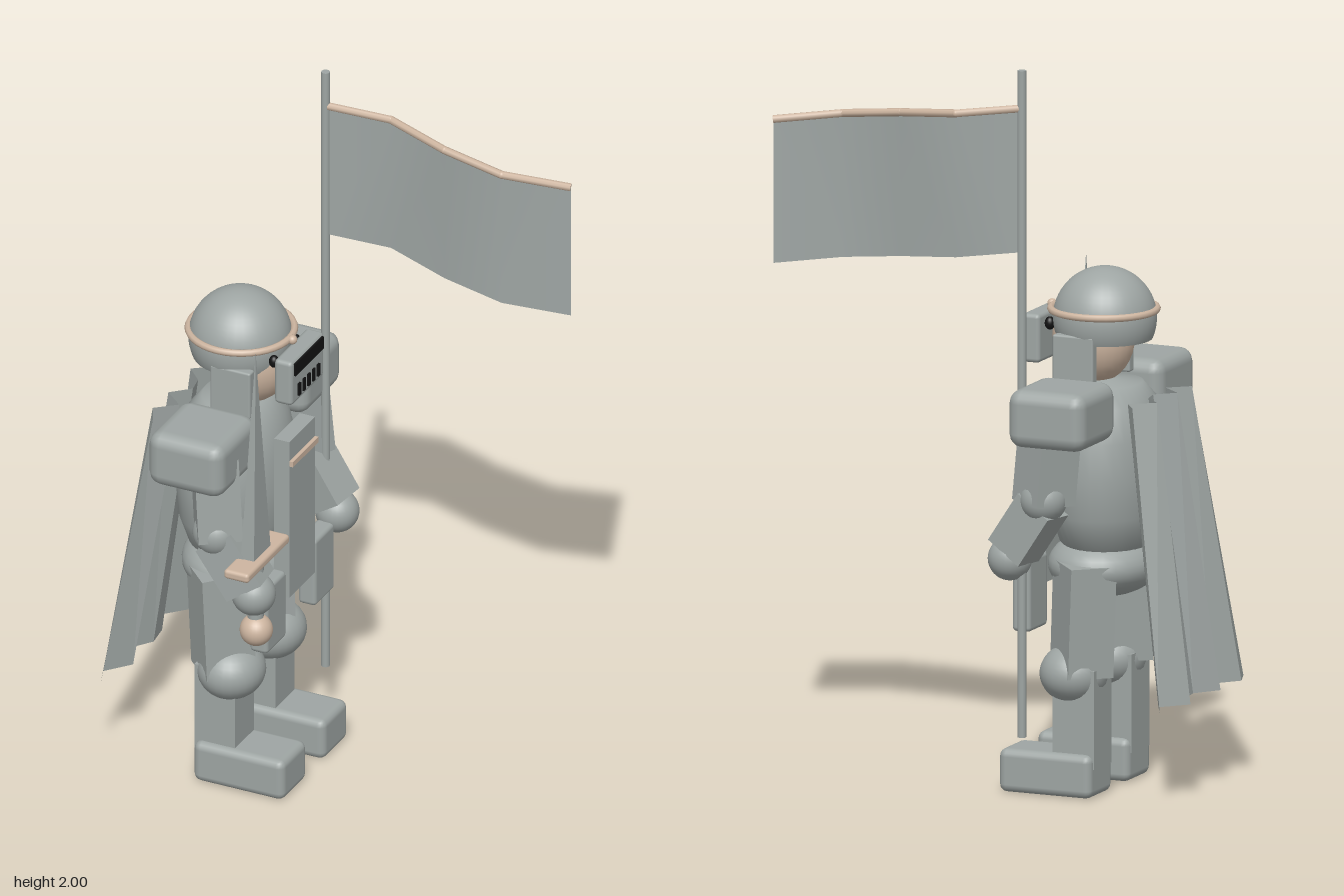
import * as THREE from 'three';
import { RoundedBoxGeometry } from 'three/addons/geometries/RoundedBoxGeometry.js';

export function createModel() {
  const model = new THREE.Group();
  model.name = 'knight';
  const material = (name, color, side = THREE.FrontSide) => {
    const m = new THREE.MeshStandardMaterial({ color, side });
    m.name = name;
    return m;
  };
  // Armour is double sided so the helmet shell, cape and flag show both faces
  const steel = material('steel grey', 0x9ea5a3, THREE.DoubleSide);
  const tan = material('warm tan', 0xcdb5a0);
  const black = material('black', 0x121212);

  const add = (name, geometry, mat, x = 0, y = 0, z = 0) => {
    const mesh = new THREE.Mesh(geometry, mat);
    mesh.name = name;
    mesh.position.set(x, y, z);
    model.add(mesh);
    return mesh;
  };
  const ball = (name, mat, x, y, z, rx, ry = rx, rz = rx) =>
    add(name, new THREE.SphereGeometry(1, 28, 18).scale(rx, ry, rz), mat, x, y, z);
  const block = (name, mat, x, y, z, w, h, d, r = 0) =>
    add(name, r ? new RoundedBoxGeometry(w, h, d, 2, r) : new THREE.BoxGeometry(w, h, d), mat, x, y, z);
  // Straight part whose long axis runs from a to b
  const between = (name, mat, a, b, makeGeometry) => {
    const p = new THREE.Vector3(...a), q = new THREE.Vector3(...b);
    const dir = q.clone().sub(p);
    const mesh = add(name, makeGeometry(dir.length()), mat);
    mesh.position.copy(p).add(q).multiplyScalar(0.5);
    mesh.quaternion.setFromUnitVectors(new THREE.Vector3(0, 1, 0), dir.normalize());
    return mesh;
  };
  const limb = (name, a, b, w, d) => between(name, steel, a, b, (l) => new THREE.BoxGeometry(w, l, d));
  const rod = (name, mat, a, b, r, sides = 12) =>
    between(name, mat, a, b, (l) => new THREE.CylinderGeometry(r, r, l, sides));
  // Open sheet spanning two rows of matching points
  const sheet = (name, top, bottom, flat) => {
    const n = top.length, index = [];
    for (let i = 0; i < n - 1; i++) index.push(i, n + i, i + 1, i + 1, n + i, n + i + 1);
    let g = new THREE.BufferGeometry();
    g.setAttribute('position', new THREE.Float32BufferAttribute([...top, ...bottom].flat(), 3));
    g.setIndex(index);
    if (flat) g = g.toNonIndexed();
    g.computeVertexNormals();
    return add(name, g, steel);
  };

  // Barrel torso and hips
  const profile = [[0, 0.63], [0.08, 0.635], [0.125, 0.68], [0.15, 0.76], [0.158, 0.87],
    [0.15, 0.97], [0.13, 1.06], [0.09, 1.11], [0, 1.125]].map((p) => new THREE.Vector2(...p));
  add('torso', new THREE.LatheGeometry(profile, 32).scale(1, 1, 1.23), steel, -0.28);
  ball('hips', steel, -0.272, 0.615, 0, 0.15, 0.09, 0.18);

  // Tabard with trim
  block('tabard', steel, -0.108, 0.8, 0, 0.046, 0.48, 0.156);
  block('tabardTrim', tan, -0.08, 0.973, 0, 0.012, 0.016, 0.156);

  // Head and helmet
  ball('head', tan, -0.237, 1.23, 0, 0.113, 0.128, 0.105);
  add('helmetDome', new THREE.SphereGeometry(0.14, 36, 18, 0, Math.PI * 2, 0, Math.PI * 0.63),
    steel, -0.27, 1.285, 0);
  add('helmetBand', new THREE.TorusGeometry(0.143, 0.01, 8, 40).rotateX(Math.PI / 2), tan, -0.267, 1.31, 0);
  ball('bandStud', tan, -0.114, 1.31, 0, 0.013);

  // Visor with eye slit and breathing slots
  block('visor', steel, -0.094, 1.23, 0, 0.054, 0.134, 0.2, 0.012);
  block('visorSlit', black, -0.066, 1.271, 0, 0.008, 0.036, 0.172);
  for (let i = -2; i <= 2; i++) block('visorSlot', black, -0.066, 1.2, i * 0.029, 0.008, 0.036, 0.013);

  for (const s of [-1, 1]) {
    // Face sides
    ball('eye', black, -0.137, 1.27, s * 0.065, 0.014, 0.018, 0.014);
    block('cheekGuard', steel, -0.235, 1.185, s * 0.12, 0.12, 0.14, 0.03, 0.006);

    // Arms
    block('pauldron', steel, -0.258, 1.065, s * 0.257, 0.226, 0.16, 0.236, 0.038);
    limb('upperArm', [-0.225, 1.06, s * 0.25], [-0.207, 0.82, s * 0.26], 0.125, 0.12);
    ball('elbow', steel, -0.21, 0.83, s * 0.268, 0.064);
    limb('forearm', [-0.205, 0.815, s * 0.26], [-0.115, 0.68, s * 0.254], 0.115, 0.108);
    ball('hand', steel, -0.105, 0.658, s * 0.254, 0.06);

    // Legs
    block('tasset', steel, -0.115, 0.548, s * 0.147, 0.054, 0.203, 0.12, 0.012);
    limb('thigh', [-0.27, 0.635, s * 0.13], [-0.258, 0.33, s * 0.125], 0.14, 0.13);
    ball('knee', steel, -0.235, 0.33, s * 0.124, 0.092, 0.081, 0.098);
    limb('shin', [-0.258, 0.35, s * 0.123], [-0.258, 0.08, s * 0.123], 0.122, 0.114);
    block('foot', steel, -0.18, 0.06, s * 0.125, 0.272, 0.12, 0.152, 0.022);
  }

  // Sword held upright in the left of the sheet plane
  const blade = new THREE.ConeGeometry(Math.SQRT2, 0.65, 4).rotateY(Math.PI / 4).scale(0.021, 1, 0.053);
  const bladeFlat = blade.toNonIndexed();
  bladeFlat.computeVertexNormals();
  add('swordBlade', bladeFlat, steel, -0.1, 1.075, 0.252);
  block('swordGuard', tan, -0.098, 0.772, 0.25, 0.075, 0.028, 0.256, 0.01);
  rod('swordGrip', steel, [-0.1, 0.77, 0.252], [-0.1, 0.55, 0.252], 0.022);
  ball('swordPommel', tan, -0.098, 0.548, 0.252, 0.045);

  // Banner: pole, waving cloth and top trim
  rod('bannerPole', steel, [-0.141, 0.17, -0.256], [-0.141, 2, -0.256], 0.012);
  const wave = [[-0.135, -0.257], [0.035, -0.297], [0.22, -0.247], [0.4, -0.228], [0.58, -0.283]];
  const row = (y0) => wave.map(([x, z]) => [x, y0 - 0.12 * (x + 0.135), z]);
  const top = row(1.895);
  sheet('bannerCloth', top, row(1.5), false);
  for (let i = 0; i < 4; i++) {
    rod('bannerTrim', tan, top[i], top[i + 1], 0.011, 8);
    if (i) ball('bannerTrimJoint', tan, ...top[i], 0.011);
  }

  // Pleated cape, narrow at the shoulders and wide at the hem
  const folds = [-0.555, -0.52, -0.584, -0.538, -0.53, -0.58, -0.524, -0.58, -0.555];
  const hem = folds.map((x, i) => [x, 0.275, (i - 4) * 0.068]);
  const collar = hem.map(([x, , z]) => [x + 0.118, 1.085, z * 0.7]);
  sheet('cape', collar, hem, true);

  return model;
}
